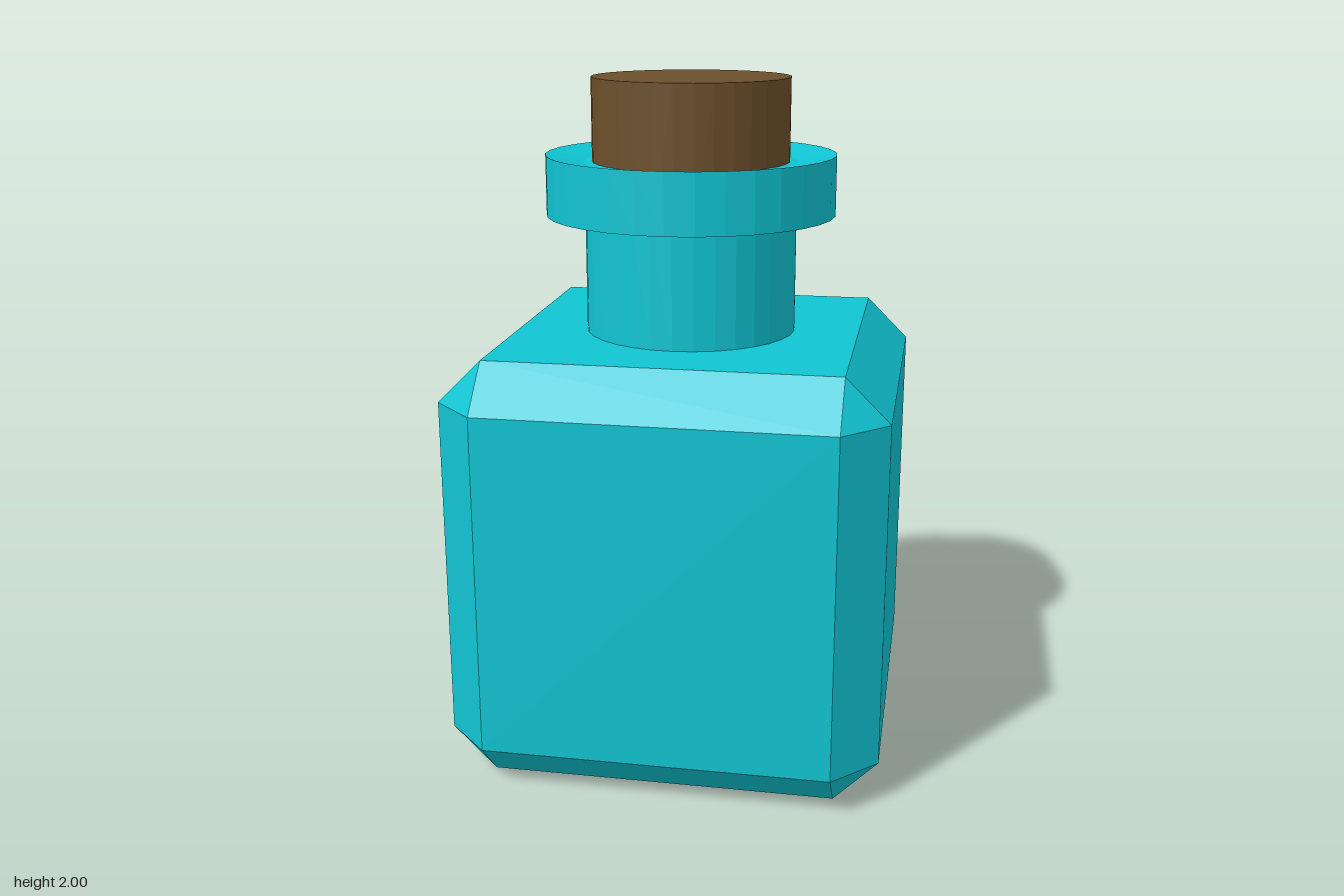
import * as THREE from 'three';
import { ConvexGeometry } from 'three/addons/geometries/ConvexGeometry.js';

const SIDES = 32;

export function createModel() {
  const group = new THREE.Group();
  const glass = new THREE.MeshStandardMaterial({ color: 0x10c4d2, flatShading: true, side: THREE.DoubleSide });
  const corkMaterial = new THREE.MeshStandardMaterial({ color: 0x6b4f2b, flatShading: true });

  const add = (name, geometry, material, y = 0) => {
    const mesh = new THREE.Mesh(geometry, material);
    mesh.name = name;
    mesh.position.y = y;
    group.add(mesh);
  };

  // Square body: a cube with every edge and corner bevelled
  const half = 0.63, flat = 0.503;
  const corners = [];
  for (const x of [-1, 1]) for (const y of [-1, 1]) for (const z of [-1, 1]) {
    for (let axis = 0; axis < 3; axis++) {
      const p = [x * flat, y * flat, z * flat];
      p[axis] *= half / flat;
      corners.push(new THREE.Vector3(...p));
    }
  }
  add('body', new ConvexGeometry(corners), glass, half);

  // Neck and overhanging lip, dished slightly towards the stopper
  const profile = [
    [0.312, 1.25], [0.312, 1.605], [0.426, 1.605], [0.426, 1.78], [0.315, 1.757], [0.28, 1.76],
  ].map(([r, y]) => new THREE.Vector2(r, y));
  add('neckAndLip', new THREE.LatheGeometry(profile, SIDES), glass);

  // Cork stopper
  add('stopper', new THREE.CylinderGeometry(0.29, 0.29, 0.4, SIDES), corkMaterial, 1.8);

  return group;
}
